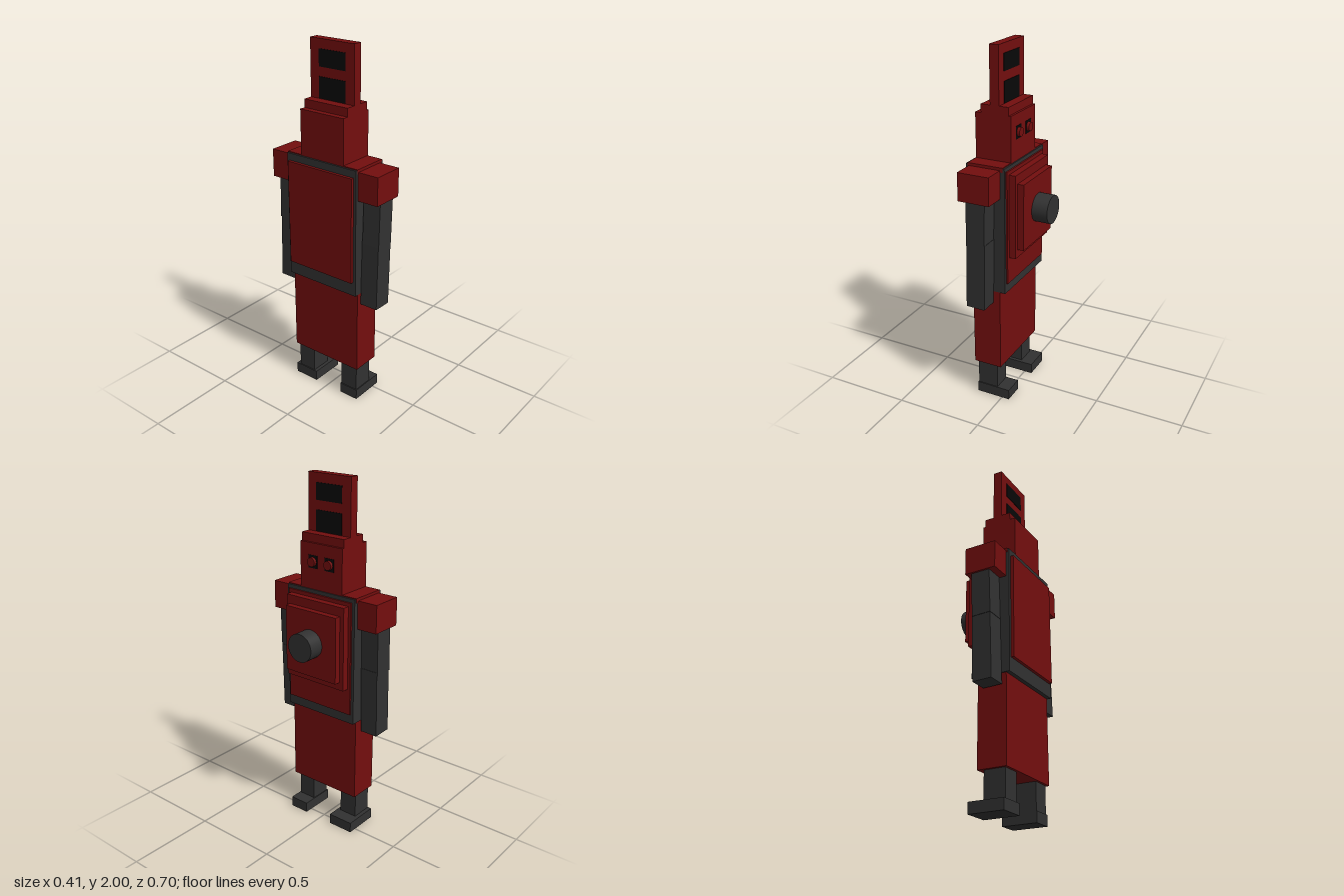
import * as THREE from 'three';

const mat = (name, color) => {
  const m = new THREE.MeshStandardMaterial({ color });
  m.name = name;
  return m;
};

export function createModel() {
  const red = mat('dark red', 0x730e0e);
  const grey = mat('charcoal', 0x313131);
  const black = mat('black', 0x080808);
  const model = new THREE.Group();
  model.name = 'robot';

  const add = (name, geometry, material, x, y, z) => {
    const mesh = new THREE.Mesh(geometry, material);
    mesh.name = name;
    mesh.position.set(x, y, z);
    model.add(mesh);
    return mesh;
  };
  // Box given by its extents on each axis
  const box = (name, material, [x0, x1], [y0, y1], [z0, z1]) =>
    add(name, new THREE.BoxGeometry(x1 - x0, y1 - y0, z1 - z0), material,
      (x0 + x1) / 2, (y0 + y1) / 2, (z0 + z1) / 2);
  // Cylinder lying along x
  const knob = (name, material, r, [x0, x1], y, z, sides) => {
    const g = new THREE.CylinderGeometry(r, r, x1 - x0, sides).rotateZ(-Math.PI / 2);
    return add(name, g, material, (x0 + x1) / 2, y, z);
  };

  // Feet and legs; one foot is a little wider
  box('leftFoot', grey, [-0.155, 0.045], [0, 0.06], [0.1, 0.215]);
  box('rightFoot', grey, [-0.155, 0.045], [0, 0.06], [-0.23, -0.08]);
  box('leftLeg', grey, [-0.15, -0.03], [0.06, 0.215], [0.105, 0.21]);
  box('rightLeg', grey, [-0.15, -0.03], [0.06, 0.215], [-0.207, -0.1]);

  // Body
  box('skirt', red, [-0.165, 0], [0.21, 0.69], [-0.222, 0.225]);
  box('torso', grey, [-0.188, 0.034], [0.69, 1.4], [-0.229, 0.228]);
  box('shoulderSlab', red, [-0.178, 0.025], [1.38, 1.405], [-0.232, 0.23]);
  box('backPlate', red, [-0.205, -0.188], [0.77, 1.36], [-0.212, 0.212]);

  // Stepped chest with a round core
  box('chestPlate', red, [0.034, 0.043], [0.745, 1.38], [-0.212, 0.214]);
  box('chestStep', red, [0.043, 0.081], [0.895, 1.36], [-0.195, 0.195]);
  box('chestPanel', red, [0.081, 0.116], [0.94, 1.31], [-0.17, 0.172]);
  knob('chestCore', grey, 0.079, [0.116, 0.205], 1.13, 0, 32);

  // Arms, slightly bent at the elbow
  for (const s of [1, -1]) {
    const side = s > 0 ? 'left' : 'right';
    add(side + 'Shoulder', new THREE.BoxGeometry(0.18, 0.155, 0.122), red, -0.081, 1.312, s * 0.288);
    const upper = add(side + 'UpperArm', new THREE.BoxGeometry(0.108, 0.26, 0.104), grey, -0.08, 1.115, s * 0.286);
    upper.rotation.z = -0.03;
    const fore = add(side + 'Forearm', new THREE.BoxGeometry(0.108, 0.38, 0.104), grey, -0.086, 0.815, s * 0.283);
    fore.rotation.z = -0.025;
  }

  // Head, cap and tall crest
  box('head', red, [-0.178, 0.027], [1.4, 1.65], [-0.14, 0.14]);
  box('cap', red, [-0.145, 0.014], [1.65, 1.695], [-0.14, 0.14]);
  box('crest', red, [-0.092, -0.04], [1.695, 2], [-0.14, 0.14]);

  // Black windows on both faces of the crest
  for (const [y0, y1] of [[1.697, 1.81], [1.86, 1.95]]) {
    box('crestWindowFront', black, [-0.04, -0.037], [y0, y1], [-0.083, 0.086]);
    box('crestWindowBack', black, [-0.095, -0.092], [y0, y1], [-0.083, 0.086]);
  }

  // Eyes: red knobs on black squares
  for (const z of [0.055, -0.055]) {
    box('eyeSocket', black, [0.027, 0.029], [1.515, 1.585], [z - 0.03, z + 0.03]);
    knob('eye', red, 0.025, [0.029, 0.045], 1.55, z, 12);
  }
  return model;
}
